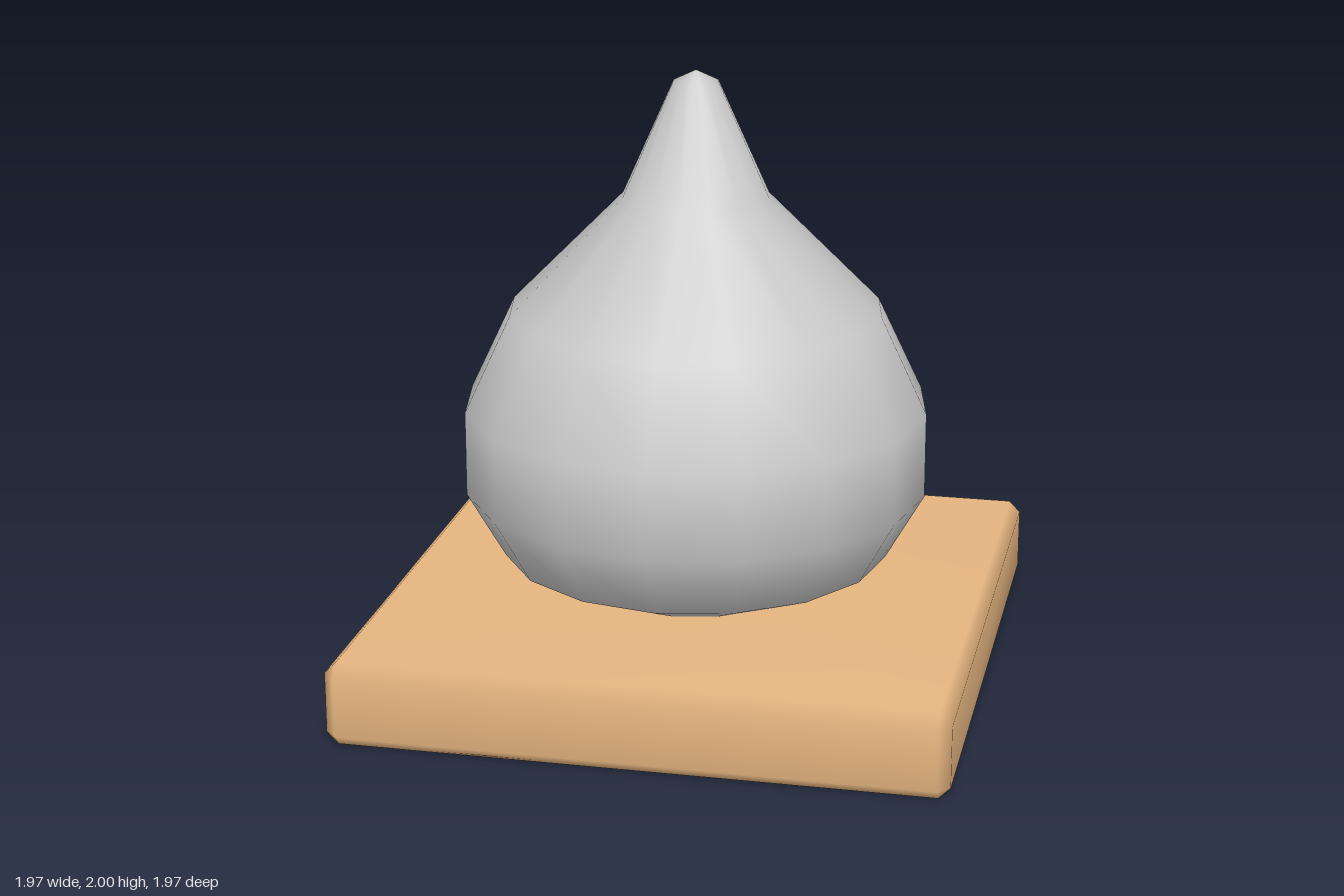
import * as THREE from 'three';
import { mergeVertices } from 'three/addons/utils/BufferGeometryUtils.js';
import { ConvexGeometry } from 'three/addons/geometries/ConvexGeometry.js';

// Box with every edge cut by one bevel, shaded smoothly
function chamferedBox(w, h, d, bevel) {
  const half = [w / 2, h / 2, d / 2];
  const points = [];
  for (const sx of [-1, 1]) for (const sy of [-1, 1]) for (const sz of [-1, 1]) {
    const signs = [sx, sy, sz];
    for (let face = 0; face < 3; face++) {
      // each corner becomes three points, one on each neighbouring face
      points.push(new THREE.Vector3(
        ...signs.map((s, i) => s * (half[i] - (i === face ? 0 : bevel)))
      ));
    }
  }
  let geometry = new ConvexGeometry(points);
  geometry.deleteAttribute('normal');
  geometry = mergeVertices(geometry, 1e-4);
  geometry.computeVertexNormals();
  return geometry;
}

export function createModel() {
  const model = new THREE.Group();
  model.name = 'dropOnBase';

  // Square wooden base
  const base = new THREE.Mesh(
    chamferedBox(1.965, 0.276, 1.965, 0.038),
    new THREE.MeshStandardMaterial({ color: 0xe6b580 })
  );
  base.name = 'base';
  base.position.y = 0.142;
  model.add(base);

  // Sixteen-sided drop, its underside sunk into the base
  const profile = [
    [0, 0.22], [0.34, 0.27], [0.635, 0.4], [0.76, 0.62], [0.76, 0.9],
    [0.61, 1.215], [0.24, 1.59], [0.073, 1.965], [0, 2],
  ].map(([r, y]) => new THREE.Vector2(r, y));
  const drop = new THREE.Mesh(
    new THREE.LatheGeometry(profile, 16),
    new THREE.MeshStandardMaterial({ color: 0xcccccc })
  );
  drop.name = 'drop';
  model.add(drop);

  return model;
}
